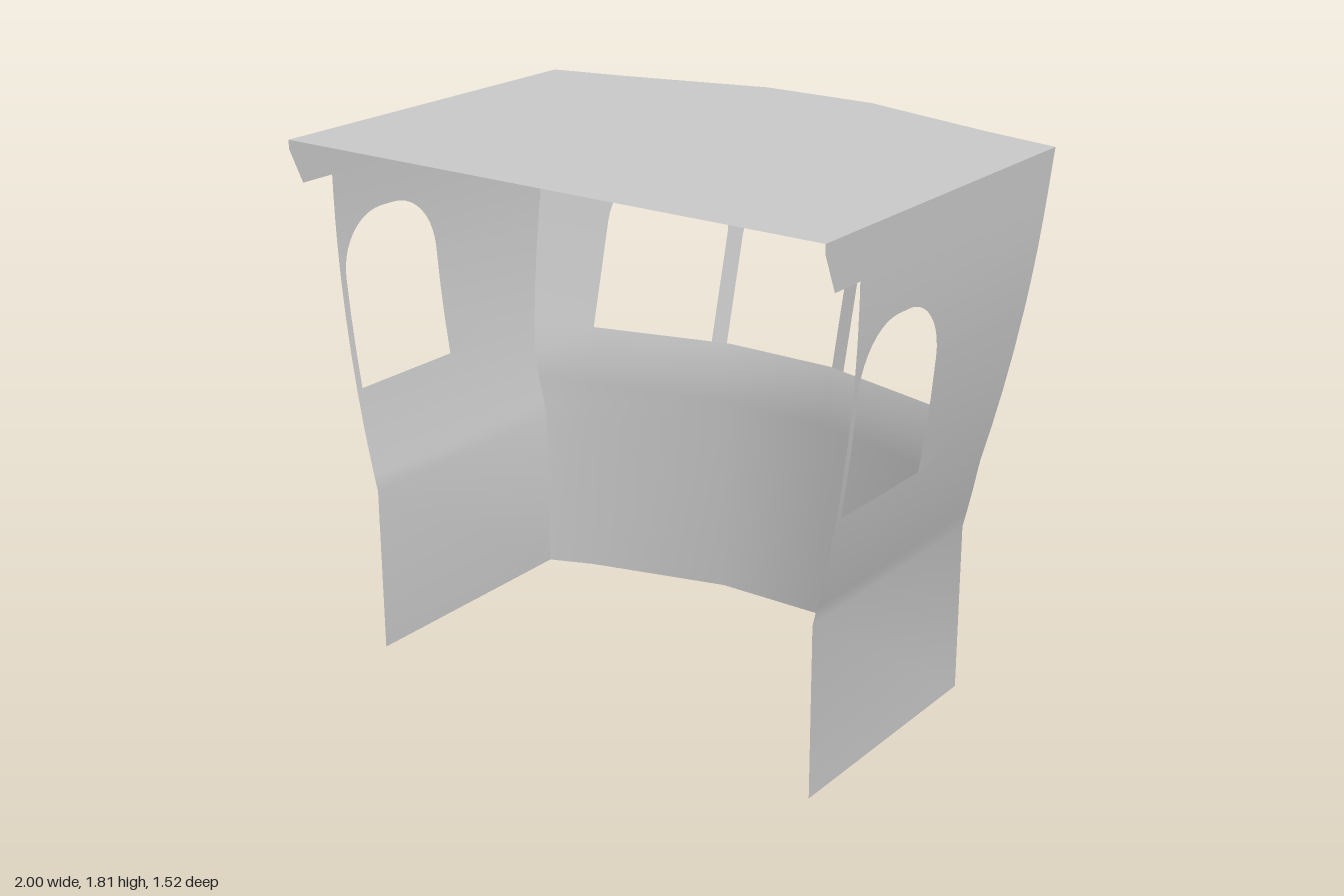
import * as THREE from 'three';
import { toCreasedNormals } from 'three/addons/utils/BufferGeometryUtils.js';

const TOP = 1.81, SILL = 0.93, SPRING = 1.31, CROWN = 1.51;
const HALF = 0.22, FLAT = 0.03; // window half width, flat part of its arch
const lerp = THREE.MathUtils.lerp, clamp = THREE.MathUtils.clamp;

// Half width of the cab: straight below, bulging gently outward above
const halfWidth = y => y <= 0.58 ? 0.87 : 1 - 0.13 * (Math.max(0, 1.65 - y) / 1.07) ** 2;

// Backward lean of the rear wall above its bend
const lean = y => Math.max(0, y - 0.82) / (TOP - 0.82) * 0.247;

// Rear wall plan: flat centre, angled flanks, outer corners
function rearZ(x, y) {
  const a = Math.abs(x), w = halfWidth(y);
  let z = -0.515;
  if (a > 0.715) z = lerp(-0.38, -0.318, (a - 0.715) / (w - 0.715));
  else if (a > 0.21) z = lerp(-0.515, -0.38, (a - 0.21) / 0.505);
  return z - lean(y);
}

// Front edge of a side wall, with the bracket under the roof overhang
const frontZ = (y, mid) => mid < 1.66 ? 0.58 : lerp(0.71, 0.762, Math.min(1, (y - 1.66) / 0.12));

// Half opening of an arched window at height y
function opening(y) {
  if (y <= SPRING) return HALF;
  const t = Math.min(1, (y - SPRING) / (CROWN - SPRING));
  return FLAT + (HALF - FLAT) * Math.sqrt(1 - t * t);
}

// Heights of the horizontal bands, finer around the arches
const rows = [0, 0.58, 0.64, 0.72, 0.82, SILL, 1.05, 1.18, 1.59, 1.66, 1.78, TOP];
for (let i = 0; i <= 10; i++) rows.push(SPRING + (CROWN - SPRING) * Math.sin(i / 10 * Math.PI / 2));
rows.sort((a, b) => a - b);

// Sheet between two edges, built band by band and split around its windows
function panel(low, high, windows, breaks, place, flip) {
  const pos = [];
  const tri = (...p) => {
    if (flip) p.reverse();
    const [a, b, c] = p;
    if (b.clone().sub(a).cross(c.clone().sub(a)).length() > 1e-9) p.forEach(v => pos.push(v.x, v.y, v.z));
  };
  for (let r = 0; r + 1 < rows.length; r++) {
    const y0 = rows[r], y1 = rows[r + 1], mid = (y0 + y1) / 2;
    const open = mid > SILL && mid < CROWN;
    const edges = y => [low(y, mid),
      ...(open ? windows.flatMap(c => [c - opening(y), c + opening(y)]) : []), high(y, mid)];
    const e0 = edges(y0), e1 = edges(y1);
    for (let s = 0; s < e0.length; s += 2) {
      const cols = e => [e[s], ...breaks.map(b => clamp(b, e[s], e[s + 1])), e[s + 1]];
      const p = cols(e0).map(u => place(u, y0)), q = cols(e1).map(u => place(u, y1));
      for (let i = 0; i + 1 < p.length; i++) {
        tri(p[i], p[i + 1], q[i + 1]);
        tri(p[i], q[i + 1], q[i]);
      }
    }
  }
  const g = new THREE.BufferGeometry();
  g.setAttribute('position', new THREE.Float32BufferAttribute(pos, 3));
  return toCreasedNormals(g, 0.5);
}

export function createModel() {
  const group = new THREE.Group();
  const material = new THREE.MeshStandardMaterial({ color: 0xcccccc, side: THREE.DoubleSide });
  const add = (name, geometry) => {
    const mesh = new THREE.Mesh(geometry, material);
    mesh.name = name;
    group.add(mesh);
    return mesh;
  };

  // Rear wall with three arched windows
  add('rearWall', panel(y => -halfWidth(y), y => halfWidth(y), [-0.495, 0, 0.495],
    [-0.715, -0.21, 0.21, 0.715], (x, y) => new THREE.Vector3(x, y, rearZ(x, y)), true));

  // Side walls, each with one arched window near the open front
  for (const [name, s] of [['leftWall', 1], ['rightWall', -1]]) {
    add(name, panel(y => rearZ(halfWidth(y), y), frontZ, [0.335], [],
      (z, y) => new THREE.Vector3(s * halfWidth(y), y, z), s > 0));
  }

  // Flat roof following the rear wall's plan
  const outline = [-1, -0.715, -0.21, 0.21, 0.715, 1].map(x => new THREE.Vector2(x, -rearZ(x, TOP)));
  outline.push(new THREE.Vector2(1, -0.762), new THREE.Vector2(-1, -0.762));
  const roof = add('roof', new THREE.ShapeGeometry(new THREE.Shape(outline)).rotateX(-Math.PI / 2));
  roof.position.y = TOP;

  return group;
}
